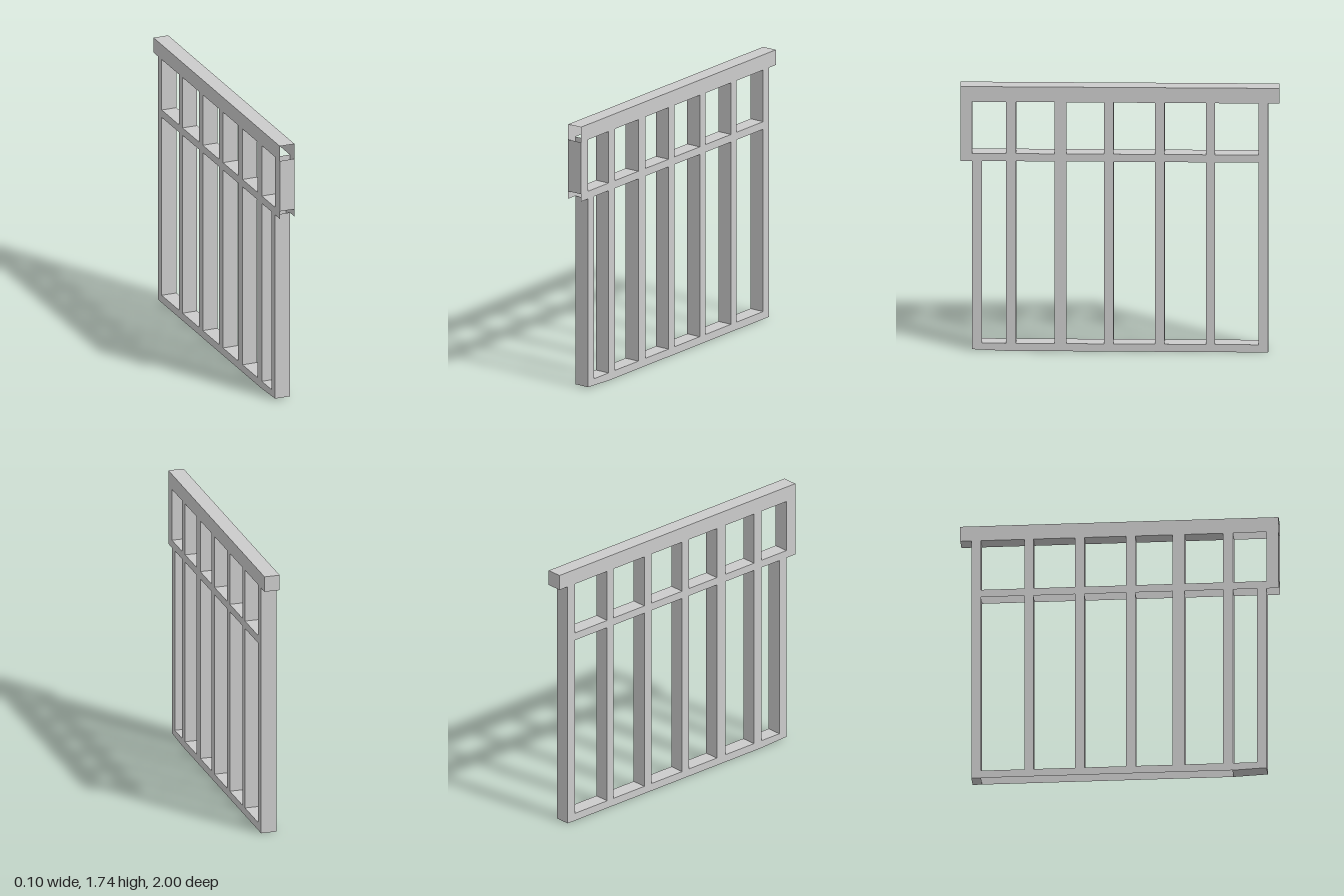
import * as THREE from 'three';
import { mergeGeometries } from 'three/addons/utils/BufferGeometryUtils.js';

const HALF = 0.05; // half thickness along x
const material = new THREE.MeshStandardMaterial({ color: 0xcccccc, side: THREE.DoubleSide, flatShading: true });

// Frame heights
const SILL = 0.05, MID_LOW = 1.25, MID_HIGH = 1.3, HEAD = 1.64, TOP = 1.74;

// Openings between the posts, as [front z, back z]
const bays = [[0.925, 0.715], [0.65, 0.41], [0.335, 0.1], [0.04, -0.22], [-0.28, -0.54], [-0.595, -0.87]];

// Outline as [z, y, whether the edge to the next point is closed by a wall]
const outline = [
  [0.925, 0.01, true], [0.71, 0, false], [-0.87, 0, true], [-0.93, 0, true], [-0.93, HEAD, true],
  [-1, HEAD, true], [-1, TOP, true], [1, TOP, false], [1, HEAD, true], [1, MID_HIGH, false],
  [1, MID_LOW, false], [0.925, MID_LOW, true],
];

// Clockwise opening; its ceiling may be left open into the hollow rail above
function opening(front, back, low, high, ceiling) {
  return [[front, low, true], [front, high, ceiling], [back, high, true], [back, low, true]];
}

const openings = bays.flatMap(([front, back], i) => [
  opening(i === 0 ? 0.865 : front, back, SILL, MID_LOW, false),
  opening(front, back, MID_HIGH, HEAD, i !== 0),
]);

// Flat face of the frame, lying in the plane x = offset
function panel(offset) {
  const points = (loop) => loop.map(([z, y]) => new THREE.Vector2(-z, y));
  const shape = new THREE.Shape(points(outline));
  shape.holes = openings.map((loop) => new THREE.Path(points(loop)));
  const geometry = new THREE.ShapeGeometry(shape);
  geometry.rotateY(Math.PI / 2);
  geometry.translate(offset, 0, 0);
  if (offset < 0) {
    // turn the far side outwards
    const index = Array.from(geometry.index.array);
    geometry.setIndex(index.reverse());
    geometry.computeVertexNormals();
  }
  return geometry;
}

// Walls across the thickness, following the closed edges of a loop
function walls(loop) {
  const positions = [];
  loop.forEach(([z0, y0, closed], i) => {
    if (!closed) return;
    const [z1, y1] = loop[(i + 1) % loop.length];
    positions.push(
      HALF, y0, z0, -HALF, y0, z0, -HALF, y1, z1,
      HALF, y0, z0, -HALF, y1, z1, HALF, y1, z1,
    );
  });
  const geometry = new THREE.BufferGeometry();
  geometry.setAttribute('position', new THREE.Float32BufferAttribute(positions, 3));
  geometry.computeVertexNormals();
  return geometry;
}

export function createModel() {
  const model = new THREE.Group();
  model.name = 'windowFrame';
  const add = (name, geometry) => {
    const mesh = new THREE.Mesh(geometry, material);
    mesh.name = name;
    model.add(mesh);
  };

  // Broad faces of posts and rails
  add('leftFace', panel(HALF));
  add('rightFace', panel(-HALF));

  // Outer edges and the linings of the openings
  add('outerEdges', walls(outline));
  add('openingLinings', mergeGeometries(openings.map(walls)));

  return model;
}
